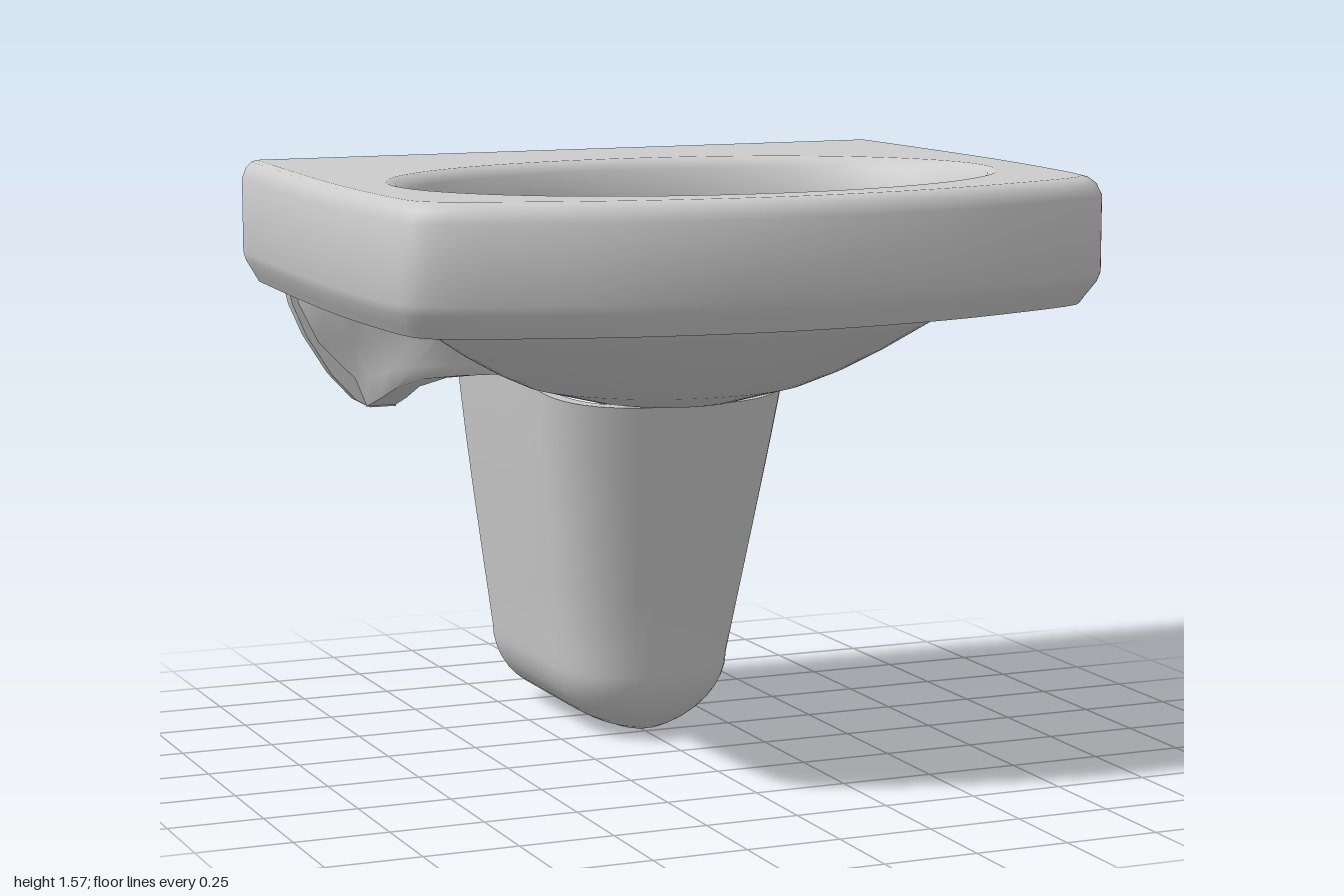
import * as THREE from 'three';
import { toCreasedNormals } from 'three/addons/utils/BufferGeometryUtils.js';

const material = new THREE.MeshStandardMaterial({ color: 0xcccccc, side: THREE.DoubleSide });

function addMesh(parent, name, geometry, crease = 0.6) {
  const mesh = new THREE.Mesh(toCreasedNormals(geometry, crease), material);
  mesh.name = name;
  parent.add(mesh);
}

// Skin joining a list of rings, each a list of [x, y, z]
function loft(rings, closed = true) {
  const n = rings[0].length, index = [];
  for (let r = 0; r < rings.length - 1; r++) {
    for (let i = 0; i < (closed ? n : n - 1); i++) {
      const a = r * n + i, b = r * n + (i + 1) % n;
      index.push(a, a + n, b, b, a + n, b + n);
    }
  }
  const g = new THREE.BufferGeometry();
  g.setAttribute('position', new THREE.Float32BufferAttribute(rings.flat(2), 3));
  g.setIndex(index);
  g.computeVertexNormals();
  return g;
}

// Ellipse points in plan as [x, z], from angle a0 to a1
function ellipse(rx, rz, cz, a0 = 0, a1 = Math.PI * 2, n = 64) {
  return Array.from({ length: n + 1 }, (_, i) => {
    const a = a0 + (a1 - a0) * i / n;
    return [rx * Math.cos(a), cz + rz * Math.sin(a)];
  });
}

const ellipseRings = rows => rows.map(([y, rx, rz, cz]) =>
  ellipse(rx, rz, cz).slice(0, -1).map(([x, z]) => [x, y, z]));

// Flat horizontal face from plan points
function flat(points, y, hole) {
  const shape = new THREE.Shape(points.map(([x, z]) => new THREE.Vector2(x, -z)));
  if (hole) shape.holes.push(new THREE.Path(hole.map(([x, z]) => new THREE.Vector2(x, -z))));
  return new THREE.ShapeGeometry(shape).rotateX(-Math.PI / 2).translate(0, y, 0);
}

// Plan outline of the basin, back right round the front to back left
const half = [[0.965, -0.8], [0.987, -0.4], [1, 0], [0.992, 0.3], [0.975, 0.5],
  [0.955, 0.56], [0.91, 0.6], [0.7, 0.68], [0.4, 0.76]];
const outline = new THREE.CatmullRomCurve3(
  [...half, [0, 0.8], ...half.slice().reverse().map(([x, z]) => [-x, z])]
    .map(([x, z]) => new THREE.Vector3(x, 0, z)), false, 'centripetal')
  .getPoints(90).map(p => [p.x, p.z]);
const inset = d => outline.map(([x, z]) => [x * (1 - d), -0.8 + (z + 0.8) * (1 - d * 0.6)]);

function basin(parent) {
  const g = new THREE.Group();
  g.name = 'basin';
  parent.add(g);

  // Outer wall with softened top and bottom edges
  const wall = [[1.235, 0.045], [1.26, 0.03], [1.295, 0.008], [1.32, 0], [1.52, 0],
    [1.55, 0.012], [1.565, 0.028], [1.57, 0.045]];
  addMesh(g, 'rimWall', loft(wall.map(([y, d]) => inset(d).map(([x, z]) => [x, y, z])), false));
  addMesh(g, 'deck', flat(inset(0.045), 1.57, ellipse(0.835, 0.56, 0.105).slice(0, -1)));

  // Inside and outside of the bowl
  addMesh(g, 'bowlInside', loft(ellipseRings([
    [1.57, 0.835, 0.56, 0.105], [1.562, 0.81, 0.54, 0.105], [1.54, 0.79, 0.525, 0.105],
    [1.47, 0.765, 0.51, 0.1], [1.35, 0.72, 0.495, 0.1], [1.2, 0.63, 0.45, 0.06],
    [1.1, 0.5, 0.38, 0.01], [1.04, 0.35, 0.29, -0.06], [1.0, 0.19, 0.18, -0.15],
    [0.975, 0.06, 0.06, -0.25]])), 1.2);
  addMesh(g, 'bowlUnderside', loft(ellipseRings([
    [1.45, 0.82, 0.56, 0.1], [1.24, 0.79, 0.54, 0.06], [1.17, 0.7, 0.49, 0.02],
    [1.1, 0.59, 0.44, -0.02], [1.04, 0.48, 0.39, -0.06], [1.0, 0.39, 0.35, -0.1],
    [0.955, 0.22, 0.24, -0.14], [0.945, 0.13, 0.13, -0.25], [0.9, 0.12, 0.12, -0.25],
    [0.9, 0.06, 0.06, -0.25]])), 0.8);

  // Underside with an open bay at the back, its ceiling and side walls
  const a = Math.acos(0.5 / 0.74);
  addMesh(g, 'underside', flat([...inset(0.045), [-0.5, -0.8],
    ...ellipse(0.74, 0.5, 0.06, Math.PI + a, -a), [0.5, -0.8]], 1.235));
  const c = Math.acos(0.5 / 0.79);
  addMesh(g, 'bayCeiling', flat([[-0.5, -0.8],
    ...ellipse(0.79, 0.54, 0.1, Math.PI + c, Math.PI * 2 - c, 24), [0.5, -0.8]], 1.42));
  for (const s of [-1, 1]) {
    addMesh(g, 'baySide', new THREE.PlaneGeometry(0.47, 0.19).rotateY(Math.PI / 2)
      .translate(s * 0.5, 1.33, -0.565));
  }

  // Wall plate with hanging lugs around the bay
  const edge = [[0.92, 1.57], [0.96, 1.53], [0.96, 1.31], [0.92, 1.24], [0.855, 1.235],
    [0.84, 1.17], [0.8, 1.08], [0.73, 0.97], [0.66, 0.895], [0.62, 0.873], [0.545, 0.873],
    [0.535, 1.0], [0.505, 1.2], [0.49, 1.36], [0.45, 1.41], [0.38, 1.42]];
  const plate = new THREE.Shape([...edge, ...edge.slice().reverse().map(([x, y]) => [-x, y])]
    .map(p => new THREE.Vector2(...p)));
  addMesh(g, 'wallPlate', new THREE.ExtrudeGeometry(plate, { depth: 0.045, bevelEnabled: false })
    .translate(0, 0, -0.8));

  // Ribs sweeping from the lugs to the bowl: z, outer x, middle x and y, foot x and y, inner x
  const ribs = [[-0.76, 0.84, 0.77, 1.06, 0.63, 0.875, 0.545], [-0.68, 0.8, 0.69, 1.07, 0.62, 0.905, 0.54],
    [-0.58, 0.76, 0.64, 1.08, 0.6, 0.95, 0.535], [-0.48, 0.71, 0.59, 1.09, 0.56, 0.985, 0.49],
    [-0.4, 0.66, 0.55, 1.1, 0.48, 1.0, 0.4], [-0.32, 0.62, 0.5, 1.12, 0.42, 1.01, 0.35]];
  for (const s of [-1, 1]) {
    const rings = ribs.map(([z, xo, xm, ym, xf, yf, xi]) => [
      [xo, 1.25], [(xo + xm) / 2 + 0.02, 1.17], [xm, ym], [xf + 0.03, (ym + yf) / 2 - 0.02],
      [xf, yf], [xi, yf], [0.5, 1.25]].map(([x, y]) => [s * x, y, z]));
    // The front end closes to a point inside the bowl wall
    rings.push(rings[0].map(() => [s * 0.48, 1.14, -0.3]));
    addMesh(g, 'supportRib', loft(rings), 0.8);
  }

  // Square drain fitting
  addMesh(g, 'drainRing', new THREE.TorusGeometry(0.075, 0.014, 6, 4).rotateZ(Math.PI / 4)
    .rotateX(Math.PI / 2).translate(0, 0.992, -0.25));
  addMesh(g, 'drainPlug', new THREE.CylinderGeometry(0.04, 0.07, 0.03, 4).rotateY(Math.PI / 4)
    .translate(0, 0.98, -0.25));
}

function pedestal(parent) {
  const g = new THREE.Group();
  g.name = 'halfPedestal';
  parent.add(g);
  const wallThickness = 0.04;

  // U-shaped plan section at height y, open towards the wall
  function section(y, t) {
    const R = 0.22, low = Math.max(0, (R - y) / R);
    const round = Math.sqrt(Math.max(0, 1 - low * low));
    const up = Math.max(0, y - R) / 0.73;
    const w = Math.max(0, (0.245 + 0.105 * up) * round - t * round);
    const front = -0.3 + 0.2 * round + 0.145 * up - t;
    const r = Math.min(0.24, front + 0.75);
    const pts = [];
    for (let i = 0; i <= 6; i++) pts.push([w, -0.8 + (front - r + 0.8) * i / 6]);
    for (let i = 1; i < 24; i++) {
      const a = Math.PI * i / 24, k = Math.cos(a), s = Math.sin(a);
      pts.push([w * Math.sign(k) * Math.abs(k) ** 0.75, front - r + r * s ** 0.75]);
    }
    for (let i = 6; i >= 0; i--) pts.push([-w, -0.8 + (front - r + 0.8) * i / 6]);
    // The upper edge rises towards the back
    return pts.map(([x, z]) => [x, y + t * Math.max(0, 1 - y / 0.95) + 0.08 * (y / 0.95) ** 6 *
      Math.min(1, Math.max(0, (front - z) / 0.45)), z]);
  }

  const heights = [];
  for (let i = 0; i <= 10; i++) heights.push(0.22 * (1 - Math.cos(Math.PI / 2 * i / 10)));
  heights.push(0.4, 0.6, 0.75, 0.86, 0.91, 0.95);
  addMesh(g, 'shell', loft(heights.map(y =>
    [...section(y, 0), ...section(y, wallThickness).reverse()])), 0.7);
  addMesh(g, 'topEdge', loft([section(0.95, 0), section(0.95, wallThickness)], false));

  // Fixing eye at the foot, against the wall
  addMesh(g, 'fixingEye', new THREE.TorusGeometry(0.05, 0.016, 8, 16, Math.PI)
    .translate(0, 0.03, -0.77));
}

export function createModel() {
  const model = new THREE.Group();
  model.name = 'washbasin';
  basin(model);
  pedestal(model);
  return model;
}
